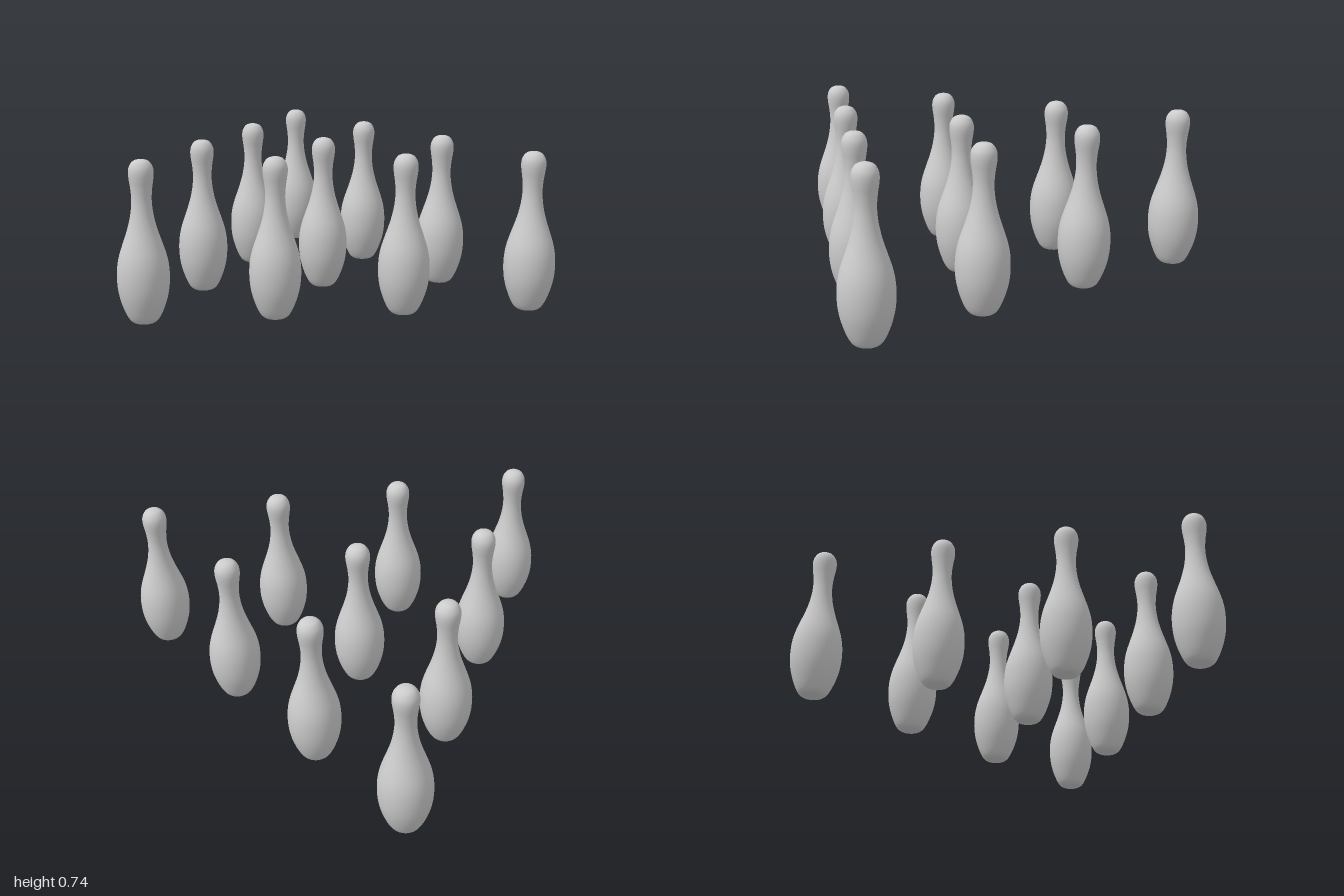
import * as THREE from 'three';

// Half-outline of a pin: radius, height
const OUTLINE = [
  [0.052, 0.003], [0.066, 0.016], [0.084, 0.05], [0.102, 0.1], [0.113, 0.15],
  [0.117, 0.205], [0.114, 0.26], [0.104, 0.31], [0.088, 0.36], [0.071, 0.41],
  [0.057, 0.46], [0.048, 0.51], [0.0445, 0.56], [0.048, 0.61], [0.054, 0.65],
  [0.056, 0.68], [0.0515, 0.704], [0.038, 0.725], [0.02, 0.734], [0, 0.737],
];

function pinGeometry() {
  const curve = new THREE.SplineCurve(OUTLINE.map(([r, y]) => new THREE.Vector2(r, y)));
  const side = curve.getPoints(64).map((p) => new THREE.Vector2(Math.max(p.x, 0), p.y));
  // Flat foot with a small rounded edge
  const foot = [new THREE.Vector2(0, 0), new THREE.Vector2(0.044, 0), new THREE.Vector2(0.048, 0.001)];
  return new THREE.LatheGeometry([...foot, ...side], 48);
}

export function createModel() {
  const group = new THREE.Group();
  group.name = 'bowlingPins';
  const geometry = pinGeometry();
  const material = new THREE.MeshStandardMaterial({ color: 0xcccccc });

  // Triangle of four rows, single head pin at the front
  const spacingX = 0.588, spacingZ = 0.509;
  let number = 1;
  for (let row = 0; row < 4; row++) {
    for (let i = 0; i <= row; i++) {
      const pin = new THREE.Mesh(geometry, material);
      pin.name = `pin${number++}`;
      pin.position.set((i - row / 2) * spacingX, 0, (1.5 - row) * spacingZ);
      group.add(pin);
    }
  }
  return group;
}
